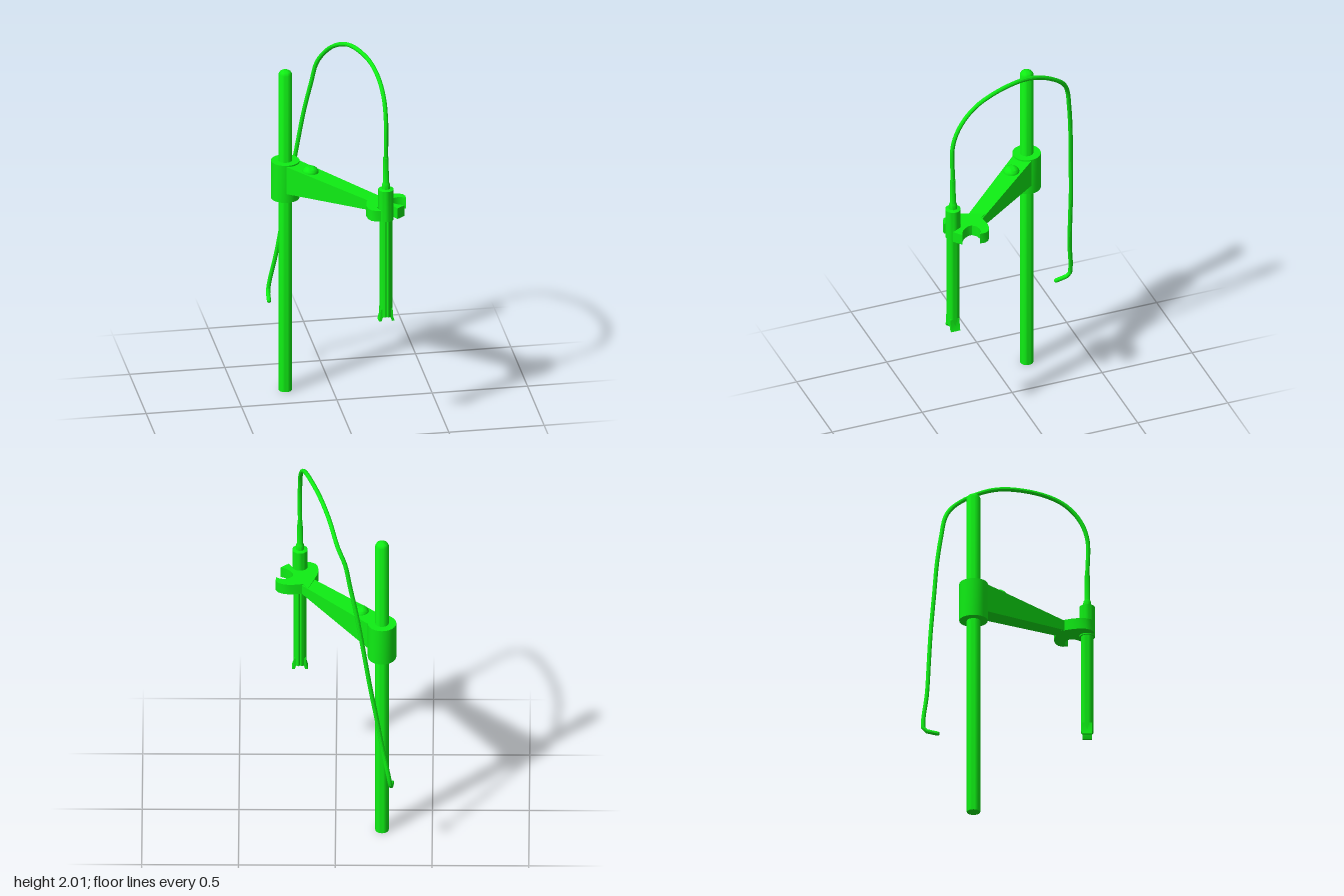
import * as THREE from 'three';
import { toCreasedNormals } from 'three/addons/utils/BufferGeometryUtils.js';

export function createModel() {
  const group = new THREE.Group();
  const green = new THREE.MeshStandardMaterial({ color: 0x0fee14, side: THREE.DoubleSide });
  const POLE = [-0.24, -0.175], PROBE = [0.187, 0.403];

  const add = (name, geometry, x = 0, y = 0, z = 0) => {
    const mesh = new THREE.Mesh(toCreasedNormals(geometry, 0.6), green);
    mesh.name = name;
    mesh.position.set(x, y, z);
    group.add(mesh);
    return mesh;
  };
  const lathe = (pts, sides = 24) =>
    new THREE.LatheGeometry(pts.map(([r, y]) => new THREE.Vector2(r, y)), sides);
  // Plan outline in (x, z), extruded upwards
  const plate = (pts, height) => {
    const shape = new THREE.Shape(pts.map(([x, z]) => new THREE.Vector2(x, -z)));
    return new THREE.ExtrudeGeometry(shape, { depth: height, bevelEnabled: false }).rotateX(-Math.PI / 2);
  };

  // Upright pole with a domed top, and the collar sliding on it
  add('pole', lathe([[0, 0], [0.035, 0], [0.035, 1.79], [0.028, 1.802], [0.015, 1.81], [0, 1.812]]),
    POLE[0], 0, POLE[1]);
  add('collar', new THREE.CylinderGeometry(0.074, 0.074, 0.21, 24), POLE[0], 1.195, POLE[1]);

  // Arm: a box tapering from the collar to the claw
  const from = new THREE.Vector2(...POLE), to = new THREE.Vector2(0.145, 0.262);
  const length = from.distanceTo(to);
  const arm = new THREE.BoxGeometry(1, 1, 1);
  const p = arm.attributes.position;
  for (let i = 0; i < p.count; i++) {
    const t = p.getZ(i) + 0.5, top = p.getY(i) > 0;
    const y = top ? THREE.MathUtils.lerp(1.298, 1.25, t) : THREE.MathUtils.lerp(1.135, 1.197, t);
    p.setXYZ(i, p.getX(i) * THREE.MathUtils.lerp(0.11, 0.084, t), y, t * length);
  }
  add('arm', arm, POLE[0], 0, POLE[1]).rotation.y = Math.atan2(to.x - from.x, to.y - from.y);

  // Domed screw on the arm
  const dome = new THREE.SphereGeometry(0.042, 20, 8, 0, Math.PI * 2, 0, Math.PI / 2).scale(1, 0.8, 1);
  add('screw', dome, -0.13, 1.281, -0.047);

  // Claw with one seat around the probe and one empty seat
  const seat = [];
  for (let i = 0; i <= 10; i++) {
    const a = THREE.MathUtils.degToRad(135 + i * 18);
    seat.push([PROBE[0] + 0.043 * Math.cos(a), PROBE[1] + 0.043 * Math.sin(a)]);
  }
  add('claw', plate([
    [0.145, 0.2], [0.112, 0.285], [0.098, 0.325], [0.091, 0.36], [0.094, 0.398], [0.107, 0.424],
    [0.13, 0.437], [0.155, 0.44], ...seat, [0.244, 0.425], [0.287, 0.39], [0.255, 0.375],
    [0.235, 0.355], [0.222, 0.33], [0.222, 0.312], [0.24, 0.293], [0.268, 0.285], [0.292, 0.289],
    [0.31, 0.302], [0.312, 0.273], [0.3, 0.25], [0.272, 0.236], [0.235, 0.23], [0.17, 0.24],
  ], 0.06), 0, 1.195, 0);

  // Probe head, neck and cable sleeve
  add('probeHead', lathe([[0, 1.19], [0.04, 1.19], [0.04, 1.36], [0.022, 1.365], [0.02, 1.39],
    [0.015, 1.4], [0.014, 1.54], [0, 1.54]]), PROBE[0], 0, PROBE[1]);

  // Probe shaft: round section with a shallow groove in front and behind
  const section = [];
  for (let i = 0; i < 24; i++) {
    const a = (i / 24) * Math.PI * 2;
    const r = Math.abs(Math.sin(a)) > 0.98 ? 0.024 : 0.033;
    section.push([r * Math.cos(a), r * Math.sin(a)]);
  }
  add('probeShaft', plate(section, 0.55), PROBE[0], 0.645, PROBE[1]);

  // Flared prongs at the foot of the shaft
  for (const s of [-1, 1]) {
    const profile = new THREE.Shape([[0.02, 0.69], [0.031, 0.69], [0.033, 0.65], [0.041, 0.622],
      [0.027, 0.622], [0.02, 0.645]].map(([x, y]) => new THREE.Vector2(s * x, y)));
    const prong = new THREE.ExtrudeGeometry(profile, { depth: 0.05, bevelEnabled: false });
    add(s > 0 ? 'leftProng' : 'rightProng', prong, PROBE[0], 0, PROBE[1] - 0.025);
  }

  // Cable arching over to the back, with a hooked end
  const path = new THREE.CatmullRomCurve3([
    [0.187, 1.53, 0.403], [0.187, 1.75, 0.403], [0.183, 1.86, 0.36], [0.168, 1.94, 0.28],
    [0.14, 1.985, 0.16], [0.08, 1.988, -0.03], [0.033, 1.94, -0.16], [-0.012, 1.85, -0.282],
    [-0.05, 1.77, -0.325], [-0.075, 1.65, -0.346], [-0.11, 1.48, -0.367], [-0.14, 1.3, -0.38],
    [-0.18, 1.05, -0.398], [-0.21, 0.88, -0.406], [-0.245, 0.67, -0.416], [-0.278, 0.5, -0.434],
    [-0.286, 0.45, -0.428], [-0.293, 0.425, -0.36],
  ].map((v) => new THREE.Vector3(...v)));
  add('cable', new THREE.TubeGeometry(path, 90, 0.0115, 10));
  // Round plug closing the hooked end
  add('cableTip', new THREE.SphereGeometry(0.0115, 10, 6), -0.293, 0.425, -0.36);

  return group;
}
